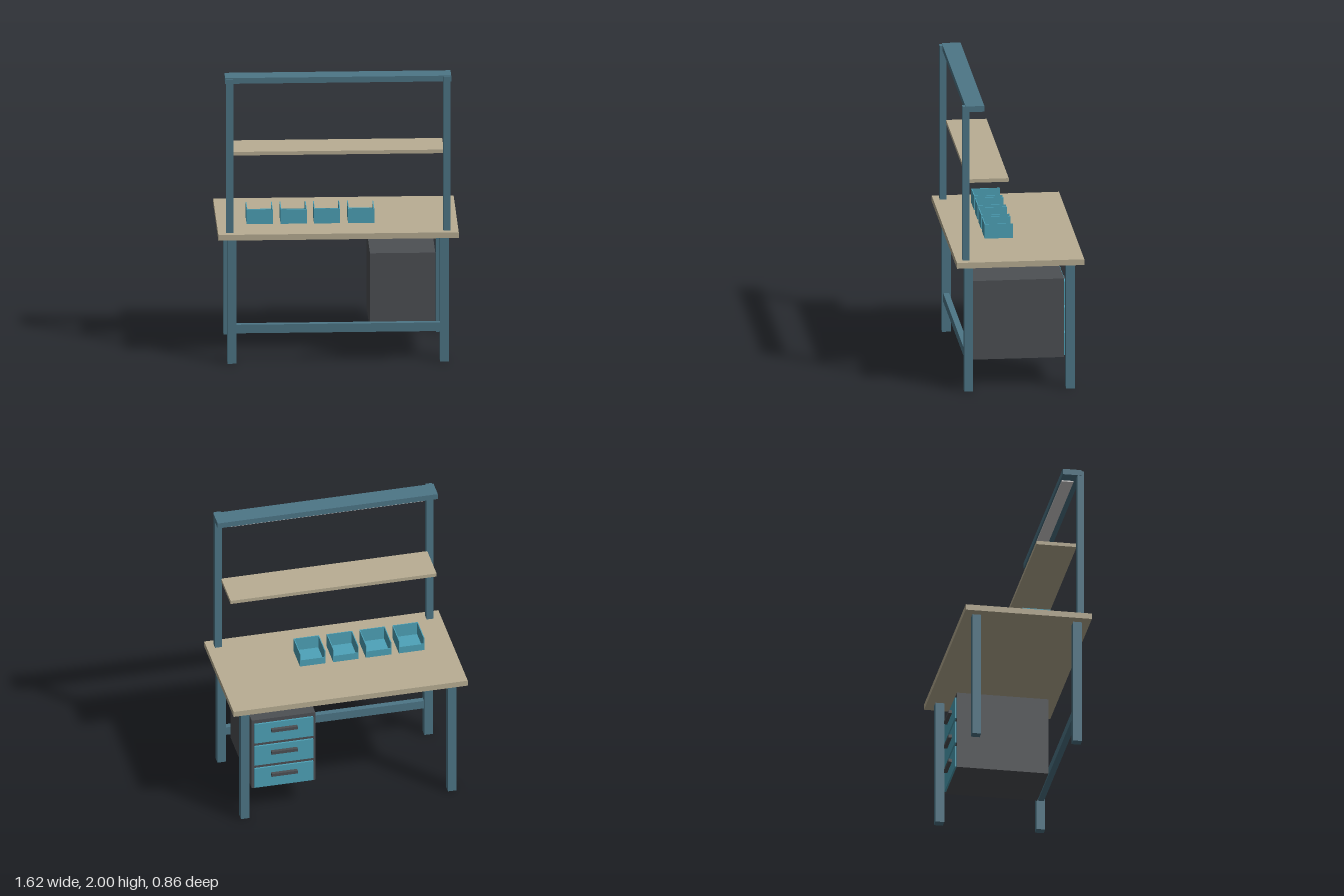
import * as THREE from 'three';

const material = (name, color) => {
  const m = new THREE.MeshStandardMaterial({ color });
  m.name = name;
  return m;
};

export function createModel() {
  const wood = material('beige laminate', 0xb9ae94);
  const steel = material('steel blue', 0x4d7687);
  const teal = material('bright teal', 0x4ea3b9);
  const dark = material('charcoal', 0x4d5054);
  const diffuser = material('light diffuser', 0xd4d2d2);

  const bench = new THREE.Group();
  bench.name = 'workbench';

  // Box given by its extents along each axis
  const box = (parent, name, mat, [x0, x1], [y0, y1], [z0, z1]) => {
    const mesh = new THREE.Mesh(new THREE.BoxGeometry(x1 - x0, y1 - y0, z1 - z0), mat);
    mesh.position.set((x0 + x1) / 2, (y0 + y1) / 2, (z0 + z1) / 2);
    mesh.name = name;
    parent.add(mesh);
    return mesh;
  };

  // Worktop, legs and stretcher
  box(bench, 'worktop', wood, [-0.808, 0.808], [0.88, 0.92], [-0.43, 0.43]);
  for (const sx of [-1, 1]) {
    for (const sz of [-1, 1]) {
      const leg = box(bench, 'leg', steel, [-0.03, 0.03], [0, 0.88], [-0.03, 0.03]);
      leg.position.x = sx * 0.714;
      leg.position.z = sz * 0.344;
    }
    // Uprights for the shelf and light beam
    const upright = box(bench, 'upright', steel, [-0.024, 0.024], [0.92, 1.995], [0.34, 0.386]);
    upright.position.x = sx * 0.73;
  }
  box(bench, 'stretcher', steel, [-0.684, 0.684], [0.21, 0.27], [0.325, 0.365]);

  // Shelf and overhead light
  box(bench, 'shelf', wood, [-0.711, 0.711], [1.45, 1.475], [0.07, 0.343]);
  box(bench, 'lightBeam', steel, [-0.76, 0.76], [1.96, 2], [0.24, 0.367]);
  box(bench, 'lightPanel', diffuser, [-0.665, 0.665], [1.951, 1.96], [0.25, 0.33]);

  // Open bins with a low lip on the user's side
  const t = 0.006;
  for (const x of [-0.52, -0.292, -0.067, 0.162]) {
    const bin = new THREE.Group();
    bin.name = 'storageBin';
    bin.position.set(x, 0.92, 0.088);
    const w = 0.088, d = 0.096, h = 0.1;
    box(bin, 'binFloor', teal, [-w + t, w - t], [0, t], [-d + t, d - t]);
    box(bin, 'binBack', teal, [-w + t, w - t], [0, h], [d - t, d]);
    box(bin, 'binLip', teal, [-w + t, w - t], [0, h / 2], [-d, -d + t]);
    box(bin, 'binSide', teal, [-w, -w + t], [0, h], [-d, d]);
    box(bin, 'binSide', teal, [w - t, w], [0, h], [-d, d]);
    bench.add(bin);
  }

  // Drawer cabinet
  const cabinet = new THREE.Group();
  cabinet.name = 'drawerCabinet';
  box(cabinet, 'cabinetBody', dark, [0.216, 0.655], [0.195, 0.745], [-0.31, 0.314]);
  for (const y of [0.28, 0.46, 0.64]) {
    box(cabinet, 'drawerFront', teal, [0.233, 0.638], [y - 0.077, y + 0.077], [-0.322, -0.31]);
    box(cabinet, 'drawerHandle', dark, [0.345, 0.525], [y + 0.01, y + 0.032], [-0.345, -0.322]);
  }
  bench.add(cabinet);

  return bench;
}
